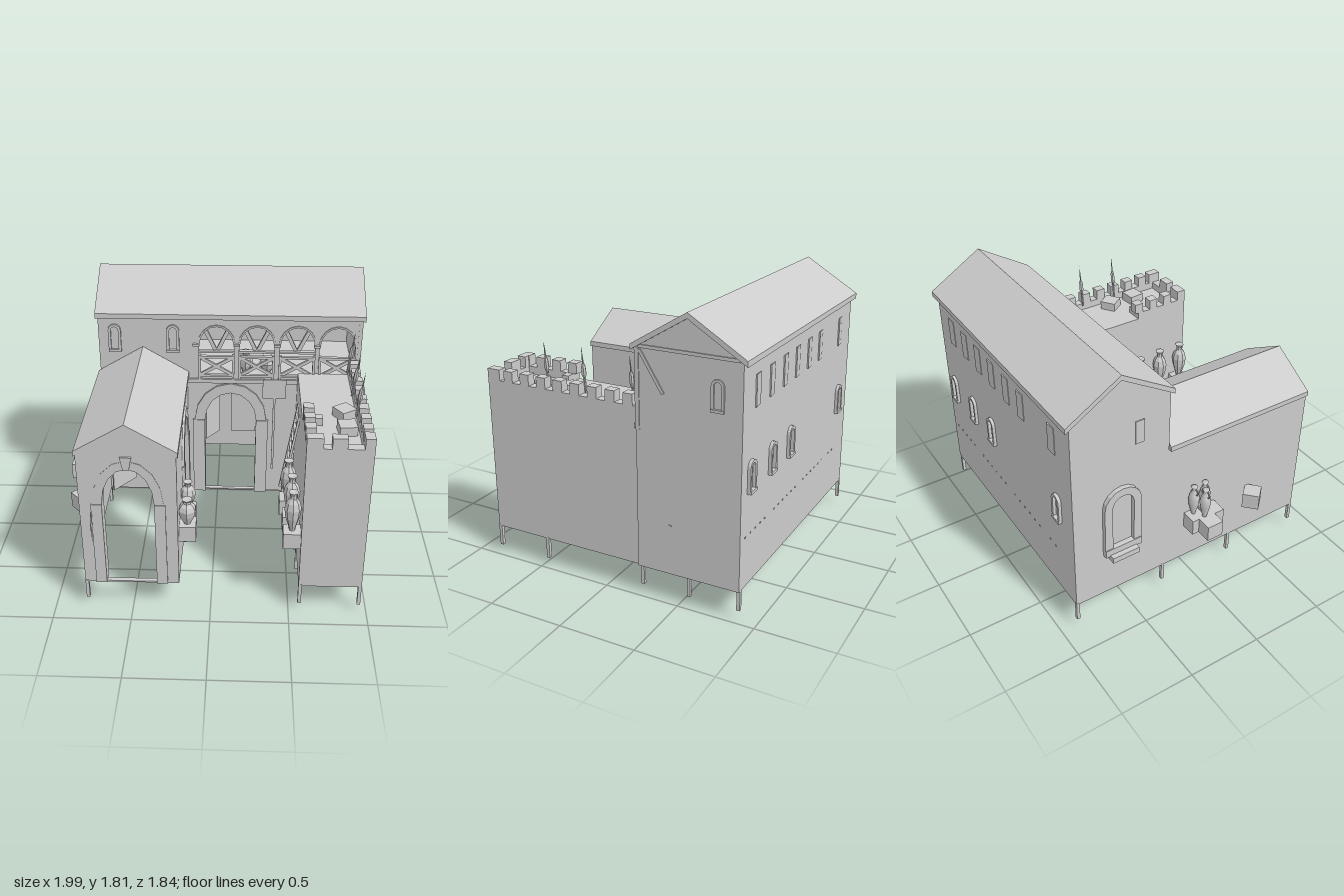
import * as THREE from 'three';

const material = new THREE.MeshStandardMaterial({ color: 0xcccccc, side: THREE.DoubleSide, flatShading: true });
const smooth = new THREE.MeshStandardMaterial({ color: 0xcccccc, side: THREE.DoubleSide });
// turn of each facade; on right u = -z, on back u = -x, on left u = z
const TURN = { front: 0, right: Math.PI / 2, back: Math.PI, left: -Math.PI / 2 };

export function createModel() {
  const root = new THREE.Group();
  root.name = 'courtyardHouse';

  const add = (name, geo, mat = material) => {
    const m = new THREE.Mesh(geo, mat);
    m.name = name;
    root.add(m);
    return m;
  };
  // box from min/max on each axis
  const box = (name, x0, x1, y0, y1, z0, z1) => {
    const m = add(name, new THREE.BoxGeometry(x1 - x0, y1 - y0, z1 - z0));
    m.position.set((x0 + x1) / 2, (y0 + y1) / 2, (z0 + z1) / 2);
    return m;
  };
  // square-section bar between two points
  const bar = (name, a, b, w, d = w) => {
    const p = new THREE.Vector3(...a), q = new THREE.Vector3(...b);
    const m = add(name, new THREE.BoxGeometry(w, p.distanceTo(q), d));
    m.position.copy(p).add(q).multiplyScalar(0.5);
    m.quaternion.setFromUnitVectors(new THREE.Vector3(0, 1, 0), q.sub(p).normalize());
    return m;
  };
  const v2 = (pts) => pts.map(([x, y]) => new THREE.Vector2(x, y));
  // plate whose outer face lies at distance d along the facade normal
  const plate = (name, side, pts, d, t, holes = []) => {
    const s = new THREE.Shape(v2(pts));
    holes.forEach((h) => s.holes.push(new THREE.Path(v2(h))));
    const g = new THREE.ExtrudeGeometry(s, { depth: t, bevelEnabled: false });
    g.translate(0, 0, d - t).rotateY(TURN[side]);
    return add(name, g);
  };
  const rect = (a, b, c, d) => [[a, c], [b, c], [b, d], [a, d]];
  const arc = (c, hw, spring, top, n = 8) => Array.from({ length: n + 1 }, (_, i) => {
    const t = Math.PI * i / n;
    return [c + hw * Math.cos(t), spring + (top - spring) * Math.sin(t)];
  });
  const opening = (c, hw, y0, spring, top) => [[c - hw, y0], [c + hw, y0], ...arc(c, hw, spring, top)];
  const band = (c, hw, w, spring, top) => [...arc(c, hw + w, spring, top + w), ...arc(c, hw, spring, top).reverse()];

  // arched doorway surround with pillars
  const doorway = (name, side, c, hw, w, top, d) => {
    for (const s of [-1, 1]) {
      const a = c + s * hw, b = c + s * (hw + w);
      plate(name + 'Pillar', side, rect(Math.min(a, b), Math.max(a, b), 0.19, 0.79), d, 0.09);
    }
    plate(name + 'Arch', side, band(c, hw, w * 0.85, 0.79, top), d - 0.005, 0.07);
  };
  // small arched window surround with sill
  const windowFrame = (side, c, y0, y1, hw, d) => {
    const w = hw * 0.42, sp = y1 - hw;
    plate('windowArch', side, band(c, hw - w, w, sp, y1 - w), d, 0.03);
    for (const s of [-1, 1]) {
      const m = c + s * (hw - w / 2);
      plate('windowJamb', side, rect(m - w / 2, m + w / 2, y0, sp), d, 0.03);
    }
    plate('windowSill', side, rect(c - hw, c + hw, y0, y0 + w), d + 0.006, 0.035);
  };
  const roofProfile = (c, hw, eave, ridge) => [[c - hw, eave - 0.035], [c - hw, eave], [c, ridge],
    [c + hw, eave], [c + hw, eave - 0.035], [c, ridge - 0.035]];

  // main hall
  const bays = [0, 0.275, 0.55, 0.82];
  plate('hallFrontWall', 'front', rect(-0.8, 0.97, 0.19, 1.57), -0.22, 0.03,
    [opening(0.1, 0.18, 0.2, 0.79, 1.005), ...bays.map((x) => opening(x, 0.12, 1.13, 1.37, 1.51))]);
  plate('hallBackWall', 'back', rect(-0.97, 0.8, 0.19, 1.57), 0.89, 0.02);
  const gable = [[0.22, 0.19], [0.89, 0.19], [0.89, 1.57], [0.555, 1.78], [0.22, 1.57]];
  plate('hallRightGable', 'right', gable, 0.975, 0.02);
  plate('hallLeftGable', 'left', gable.map(([u, y]) => [-u, y]), 0.8, 0.02);
  plate('hallRoof', 'right', roofProfile(0.56, 0.36, 1.59, 1.81), 0.995, 1.81);
  box('loggiaFloor', -0.2, 0.97, 1.08, 1.11, -0.87, -0.205);
  doorway('hallDoor', 'front', 0.1, 0.18, 0.085, 1.005, -0.2);
  box('doorLeaf', 0.1, 0.28, 0.585, 1.0, -0.42, -0.41);
  box('doorLeafOpen', -0.11, 0.05, 0.585, 1.0, -0.36, -0.35).rotation.y = 0.95;

  // loggia arches, struts and cross-braced railings
  bays.forEach((x, i) => {
    plate('loggiaArch', 'front', band(x, 0.115, 0.012, 1.37, 1.5), -0.212, 0.045);
    box('tieEnd', x - 0.16, x - 0.115, 1.36, 1.375, -0.22, -0.2);
    if (i < 3) {
      box('strutBeam', x - 0.12, x + 0.12, 1.295, 1.31, -0.27, -0.24);
      for (const s of [-1, 1]) bar('loggiaStrut', [x + s * 0.01, 1.31, -0.27], [x + s * 0.085, 1.47, -0.27], 0.025);
    }
    for (const y of [1.135, 1.275]) box('rail', x - 0.12, x + 0.12, y - 0.008, y + 0.008, -0.235, -0.21);
    for (const s of [-1, 1]) {
      bar('crossBrace', [x - s * 0.11, 1.14, -0.222], [x + s * 0.11, 1.27, -0.222], 0.022, 0.018);
      box('railPost', x + s * 0.115 - 0.008, x + s * 0.115 + 0.008, 1.11, 1.29, -0.235, -0.208);
    }
  });
  // timber corner post and brace on the right gable
  box('cornerPost', 0.955, 0.98, 1.08, 1.57, -0.245, -0.218);
  bar('gableBrace', [0.972, 1.56, -0.25], [0.972, 1.32, -0.4], 0.02);
  box('gableTie', 0.96, 0.982, 1.57, 1.59, -0.87, -0.24);

  // windows, shutters and putlog holes
  for (const x of [-0.69, -0.295]) windowFrame('front', x, 1.31, 1.51, 0.043, -0.205);
  windowFrame('right', 0.74, 1.27, 1.46, 0.04, 0.985);
  for (const x of [0.85, 0.55, 0.265, -0.62]) windowFrame('back', -x, 0.78, 0.98, 0.045, 0.91);
  windowFrame('left', -0.56, 0.52, 1.02, 0.13, 0.83);
  box('windowLedge', -0.87, -0.8, 0.49, 0.53, -0.66, -0.47);
  for (const x of [0.78, 0.58, 0.38, 0.185, -0.015, -0.21, -0.59])
    box('shutter', x - 0.035, x + 0.035, 1.275, 1.465, -0.896, -0.888).rotation.y = 0.08;
  box('shutter', -0.806, -0.798, 1.29, 1.45, -0.46, -0.4);
  for (let i = 0; i < 22; i++)
    if (i % 7 !== 5) box('putlog', 0.9 - i * 0.07, 0.912 - i * 0.07, 0.51, 0.518, -0.893, -0.885);
  box('putlog', 0.955, 0.98, 0.507, 0.515, -0.45, -0.43);

  // left wing
  plate('wingFrontWall', 'front', [[-0.8, 0.19], [-0.2, 0.19], [-0.2, 1.14], [-0.5, 1.32], [-0.8, 1.14]], 0.86, 0.03,
    [opening(-0.5, 0.16, 0.2, 0.79, 1.045)]);
  plate('wingCourtWall', 'right', rect(-0.86, 0.22, 0.19, 1.14), -0.2, 0.03, [opening(-0.185, 0.17, 0.2, 0.79, 1.015)]);
  box('wingOuterWall', -0.8, -0.78, 0.19, 1.14, -0.22, 0.86);
  plate('wingRoof', 'front', roofProfile(-0.5, 0.31, 1.165, 1.35), 0.865, 1.075);
  doorway('wingDoor', 'front', -0.5, 0.16, 0.068, 1.045, 0.868);
  plate('keystone', 'front', [[-0.518, 1.04], [-0.482, 1.04], [-0.465, 1.13], [-0.535, 1.13]], 0.872, 0.08);
  doorway('courtDoor', 'right', -0.185, 0.17, 0.075, 1.015, -0.18);
  box('wingPanelOpen', -0.7, -0.49, 0.575, 1.08, 0.3, 0.31).rotation.y = 0.9;
  box('wingPanel', -0.505, -0.345, 0.585, 1.06, -0.2, -0.19);

  // right wing with walkway and battlements
  box('towerFrontWall', 0.56, 0.96, 0.19, 1.21, 0.84, 0.86);
  box('towerCourtWall', 0.56, 0.58, 0.19, 1.16, -0.22, 0.86);
  box('towerOuterWall', 0.94, 0.96, 0.19, 1.16, -0.22, 0.86);
  box('walkway', 0.56, 0.96, 1.13, 1.16, -0.22, 0.86);
  box('parapetOuter', 0.9, 0.96, 1.13, 1.21, -0.21, 0.86);
  box('parapetFront', 0.56, 0.96, 1.13, 1.21, 0.8, 0.86);
  box('parapetCourt', 0.56, 0.625, 1.13, 1.21, 0.45, 0.86);
  box('parapetInner', 0.56, 0.68, 1.13, 1.21, 0.45, 0.5);
  for (let i = 0; i < 9; i++) {
    const z = 0.86 - i * 0.123;
    box('merlon', 0.9, 0.96, 1.21, 1.28, z - (i ? 0.065 : 0.09), z);
    if (i < 4) box('merlon', 0.56, 0.625, 1.21, 1.28, z - 0.065, z);
  }
  box('merlon', 0.56, 0.66, 1.21, 1.28, 0.8, 0.86);
  box('merlon', 0.71, 0.8, 1.21, 1.28, 0.8, 0.86);
  for (const [x, z, a] of [[0.825, 0.375, 0.6], [0.825, 0.57, 0.1]])
    box('walkwayCrate', x - 0.055, x + 0.055, 1.16, 1.22, z - 0.055, z + 0.055).rotation.y = a;

  // torches along the battlements
  const torch = v2([[0, -0.1], [0.008, -0.1], [0.008, 0], [0.016, 0.03], [0.014, 0.08], [0.006, 0.1], [0.003, 0.16], [0, 0.21]]);
  for (const z of [0.445, 0.175, -0.155]) {
    const t = add('battlementTorch', new THREE.LatheGeometry(torch, 6));
    t.position.set(0.9, 1.3, z);
    t.rotation.z = -0.12;
  }
  const wallTorch = add('wallTorch', new THREE.LatheGeometry(torch, 6));
  wallTorch.position.set(-0.725, 0.68, 0.895);
  wallTorch.rotation.x = Math.PI - 0.15;
  wallTorch.scale.setScalar(0.65);

  // ladder and sign in the court
  for (const z of [0.035, 0.195]) bar('ladderRail', [0.455, 0.4, z], [0.56, 1.06, z], 0.016);
  for (let i = 1; i < 9; i++) {
    const x = 0.455 + i * 0.0117, y = 0.4 + i * 0.073;
    box('ladderRung', x - 0.008, x + 0.008, y - 0.008, y + 0.008, 0.035, 0.195);
  }
  box('signBoard', 0.32, 0.48, 1.0, 1.145, -0.15, -0.14);
  box('signPost', 0.394, 0.41, 0.43, 1.0, -0.153, -0.14);

  // crates, pots and amphorae
  const crate = (x, z, w, y = 0.46, a = 0) =>
    (box('crate', x - w / 2, x + w / 2, y, y + 0.11, z - w / 2, z + w / 2).rotation.y = a);
  const profile = v2([[0, 0], [0.35, 0], [0.4, 0.06], [0.85, 0.35], [1, 0.58], [0.8, 0.74], [0.42, 0.84], [0.4, 0.92], [0.6, 1], [0, 0.98]]);
  const pot = (name, x, y, z, r, h, n = 8) => {
    const m = add(name, new THREE.LatheGeometry(profile, n), n > 8 ? smooth : material);
    m.scale.set(r, h, r);
    m.position.set(x, y, z);
  };
  const amphora = (x, z) => {
    pot('amphora', x, 0.565, z, 0.037, 0.225, 12);
    for (const s of [-1, 1]) {
      const h = add('amphoraHandle', new THREE.TorusGeometry(0.022, 0.005, 5, 10), smooth);
      h.position.set(x + s * 0.016, 0.755, z);
    }
  };
  crate(-0.94, 0.02, 0.115);
  crate(-0.85, -0.035, 0.1);
  crate(-0.85, 0.09, 0.12);
  crate(-0.865, 0.42, 0.11, 0.46, 0.75);
  amphora(-0.89, 0.01);
  amphora(-0.83, -0.035);
  amphora(-0.83, 0.05);
  crate(-0.155, 0.545, 0.1);
  crate(-0.155, 0.72, 0.12);
  pot('tallPot', -0.155, 0.57, 0.56, 0.05, 0.2);
  pot('roundPot', -0.15, 0.57, 0.73, 0.06, 0.18, 6);
  for (const [x, z] of [[0.49, 0.43], [0.505, 0.61], [0.505, 0.79]]) {
    crate(x, z, 0.11, 0.47);
    pot('courtPot', x, 0.58, z, 0.053, 0.28);
  }
  pot('loggiaPot', 0.2, 1.11, -0.32, 0.05, 0.17);
  pot('loggiaPot', 0.35, 1.11, -0.32, 0.055, 0.14);

  // foundation stakes
  for (const [x, z, y] of [[-0.79, 0.85, 0.06], [-0.79, 0.3, 0.05], [-0.79, -0.24, 0.06], [-0.79, -0.88, 0.06],
    [0.57, 0.85, 0.05], [0.57, 0.445, 0], [0.57, 0.235, 0], [0.95, 0.85, 0.05], [0.95, 0.47, 0.05],
    [0.95, -0.24, 0.06], [0.95, -0.555, 0.06], [0.95, -0.88, 0.06]])
    box('stake', x - 0.011, x + 0.011, y, 0.2, z - 0.011, z + 0.011);

  return root;
}
